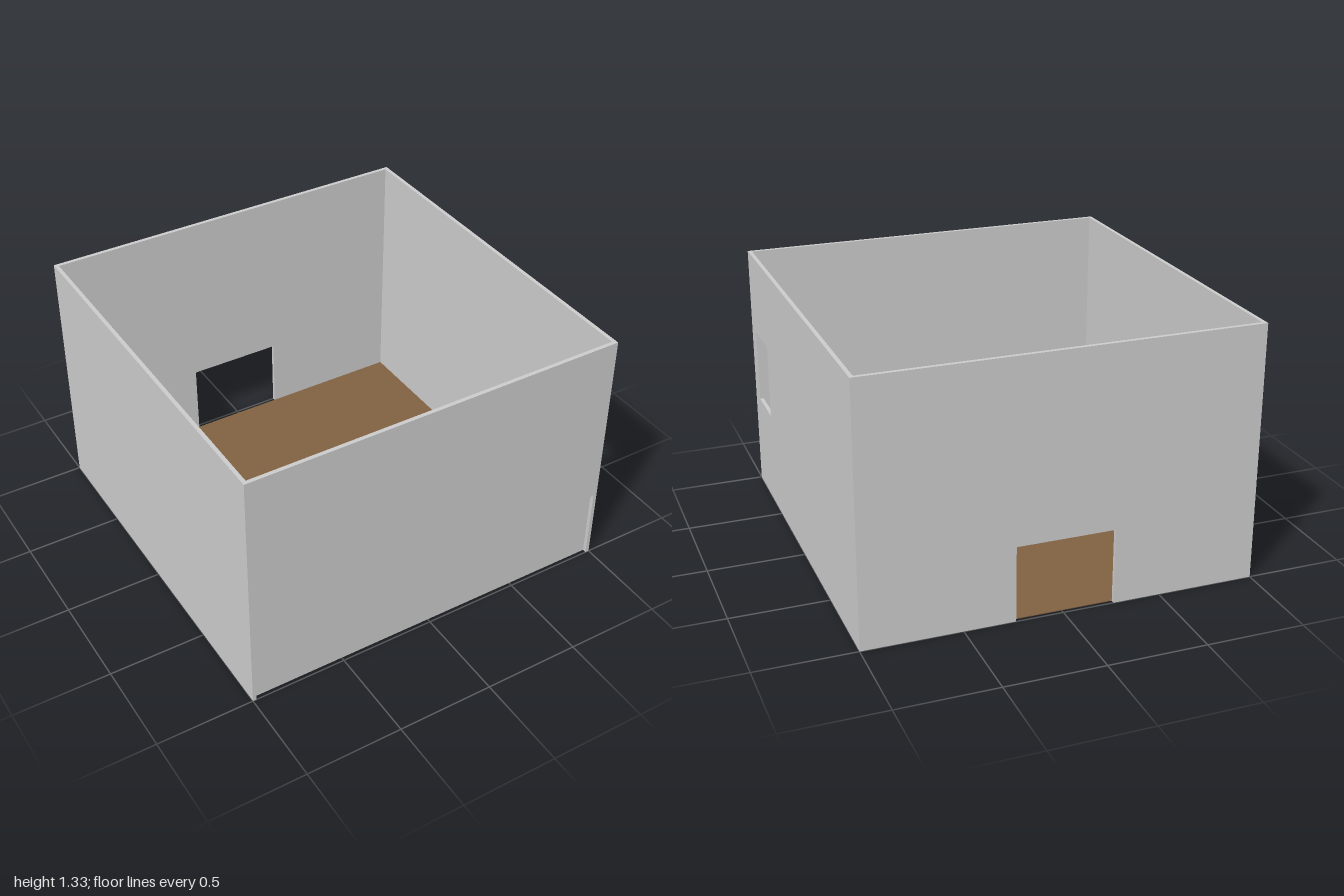
import * as THREE from 'three';

const H = 1.325;   // wall height
const T = 0.02;    // wall thickness
const IN = 1 - T;  // inner face of the walls

const grey = new THREE.MeshStandardMaterial({ color: 0xcccccc, flatShading: true, side: THREE.DoubleSide });
const brown = new THREE.MeshStandardMaterial({ color: 0x806141, flatShading: true, side: THREE.DoubleSide });

function rect(path, x0, y0, x1, y1) {
  path.moveTo(x0, y0);
  path.lineTo(x1, y0);
  path.lineTo(x1, y1);
  path.lineTo(x0, y1);
  path.closePath();
  return path;
}

// Upright slab of thickness T drawn in the xy plane, from z = 0 to z = T
function slab(name, shape) {
  const geometry = new THREE.ExtrudeGeometry(shape, { depth: T, bevelEnabled: false });
  const mesh = new THREE.Mesh(geometry, grey);
  mesh.name = name;
  return mesh;
}

export function createModel() {
  const room = new THREE.Group();
  room.name = 'room';

  // Side walls, full depth; turned so that shape x runs along -z
  const leftShape = rect(new THREE.Shape(), -1, 0, 1, H);
  leftShape.holes.push(rect(new THREE.Path(), -0.91, 0.51, -0.65, 0.9)); // window
  const leftWall = slab('leftWallWithWindow', leftShape);
  leftWall.rotation.y = Math.PI / 2;
  leftWall.position.x = IN;

  const rightWall = slab('rightWall', rect(new THREE.Shape(), -1, 0, 1, H));
  rightWall.rotation.y = Math.PI / 2;
  rightWall.position.x = -1;

  // Back wall, with a doorway cut up from its bottom edge
  const backShape = new THREE.Shape([
    [-IN, 0], [-0.26, 0], [-0.26, 0.39], [0.24, 0.39],
    [0.24, 0], [IN, 0], [IN, H], [-IN, H],
  ].map(([x, y]) => new THREE.Vector2(x, y)));
  const backWall = slab('backWallWithDoorway', backShape);
  backWall.position.z = -1;

  // Front wall stops above a wide recess between the side walls
  const frontWall = slab('frontUpperWall', rect(new THREE.Shape(), -IN, 0.39, IN, H));
  frontWall.position.z = IN;

  // Thin panel closing the recess, level with the inner wall face
  const panel = new THREE.Mesh(new THREE.PlaneGeometry(2 * IN, 0.39), grey);
  panel.name = 'frontRecessedPanel';
  panel.position.set(0, 0.195, IN);

  const floor = new THREE.Mesh(new THREE.BoxGeometry(2 * IN, 0.004, 2 * IN), brown);
  floor.name = 'floor';
  floor.position.y = 0.002;

  room.add(leftWall, rightWall, backWall, frontWall, panel, floor);
  return room;
}
